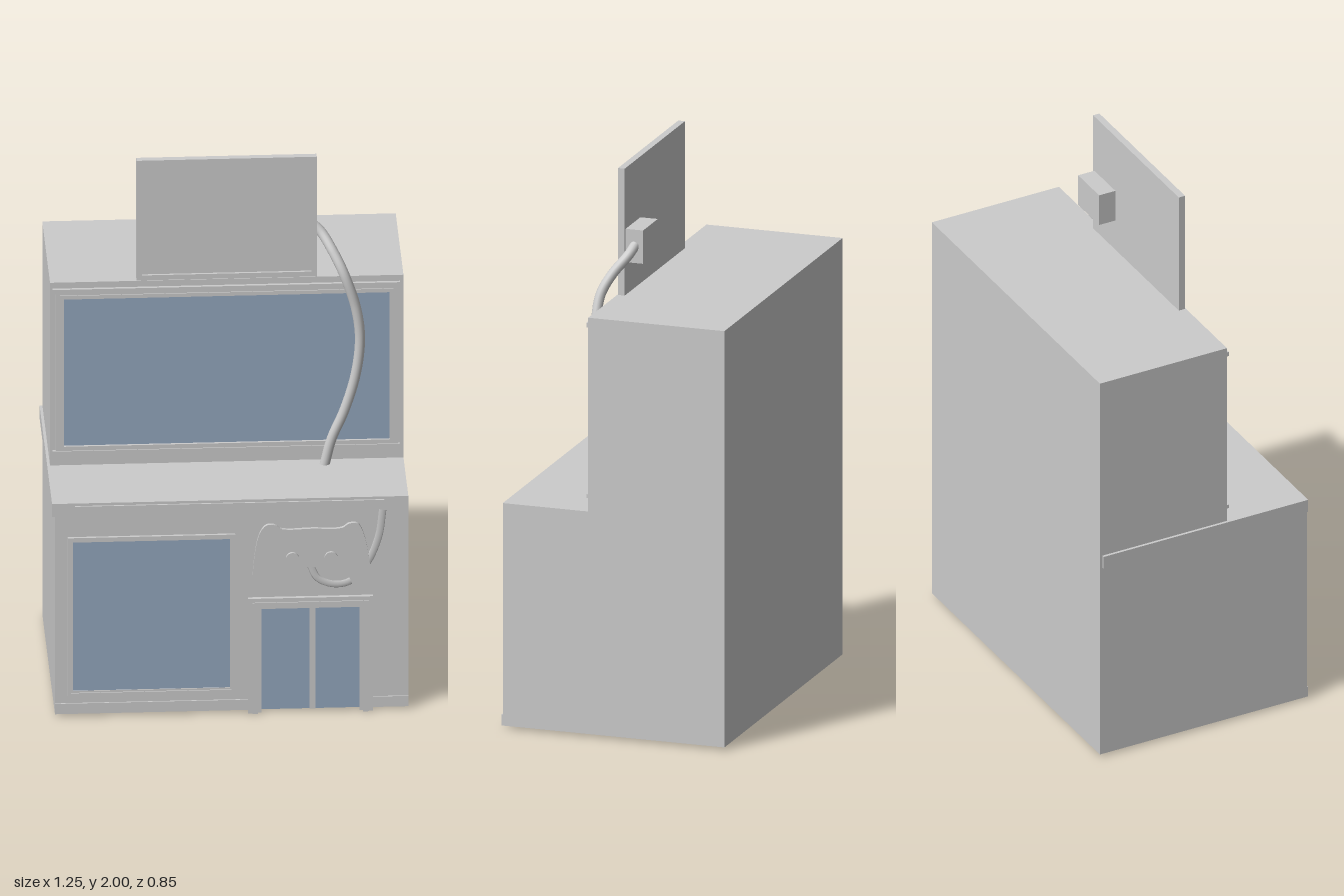
import * as THREE from 'three';

const grey = new THREE.MeshStandardMaterial({ color: 0xcccccc });
const glass = new THREE.MeshStandardMaterial({ color: 0x93a7be });

export function createModel() {
  const root = new THREE.Group();

  const add = (name, geometry, material = grey) => {
    const mesh = new THREE.Mesh(geometry, material);
    mesh.name = name;
    root.add(mesh);
    return mesh;
  };

  // Box given by its lower and upper corner
  const box = (name, [x0, y0, z0], [x1, y1, z1], material) => {
    const mesh = add(name, new THREE.BoxGeometry(x1 - x0, y1 - y0, z1 - z0), material);
    mesh.position.set((x0 + x1) / 2, (y0 + y1) / 2, (z0 + z1) / 2);
    return mesh;
  };

  const rectPoints = (x0, y0, x1, y1) => [[x0, y0], [x1, y0], [x1, y1], [x0, y1]].map(p => new THREE.Vector2(...p));

  // Rectangular moulding of width w between depths z0 and z1
  const frame = (name, [x0, y0, x1, y1], w, z0, z1) => {
    const shape = new THREE.Shape(rectPoints(x0, y0, x1, y1));
    shape.holes.push(new THREE.Path(rectPoints(x0 + w, y0 + w, x1 - w, y1 - w)));
    add(name, new THREE.ExtrudeGeometry(shape, { depth: z1 - z0, bevelEnabled: false })).position.z = z0;
  };

  // Door moulding, open at the bottom
  const portal = (name, [x0, x1, top], w, z0, z1) => {
    const pts = [[x0, 0], [x0 + w, 0], [x0 + w, top - w], [x1 - w, top - w], [x1 - w, 0], [x1, 0], [x1, top], [x0, top]];
    const shape = new THREE.Shape(pts.map(p => new THREE.Vector2(...p)));
    add(name, new THREE.ExtrudeGeometry(shape, { depth: z1 - z0, bevelEnabled: false })).position.z = z0;
  };

  // Stepped building
  const front = 0.402, upperFront = 0.083;
  const outline = [[-0.425, 0.01], [front, 0.01], [front, 0.825], [upperFront, 0.825], [upperFront, 1.535], [-0.425, 1.535]];
  const profile = new THREE.Shape(outline.map(([z, y]) => new THREE.Vector2(-z, y)));
  const body = add('building', new THREE.ExtrudeGeometry(profile, { depth: 1.245, bevelEnabled: false }));
  body.rotation.y = Math.PI / 2;
  body.position.x = -0.62;

  // Trim along the walls
  box('sideLedge', [-0.63, 0.775, -0.415], [-0.62, 0.825, front], grey);
  box('frontLedge', [-0.55, 0.785, front], [0.54, 0.815, 0.408], grey);
  box('baseTrimLeft', [-0.62, 0.01, front], [0.06, 0.05, 0.407], grey);
  box('baseTrimRight', [0.5, 0.01, front], [0.625, 0.05, 0.407], grey);

  // Upper window
  box('upperGlass', [-0.575, 0.89, upperFront], [0.58, 1.485, 0.086], glass);
  frame('upperFrameOuter', [-0.6, 0.878, 0.605, 1.498], 0.018, upperFront, 0.091);
  frame('upperFrameInner', [-0.585, 0.888, 0.59, 1.488], 0.014, upperFront, 0.095);
  box('upperFrameCap', [-0.612, 1.495, upperFront], [0.612, 1.512, 0.095], grey);
  box('upperFrameSill', [-0.612, 0.87, upperFront], [0.612, 0.884, 0.095], grey);

  // Lower window
  box('lowerGlass', [-0.565, 0.09, front], [0.005, 0.685, 0.405], glass);
  frame('lowerFrameOuter', [-0.575, 0.08, 0.015, 0.695], 0.012, front, 0.412);
  frame('lowerFrameInner', [-0.564, 0.091, 0.004, 0.684], 0.008, front, 0.408);

  // Double door
  box('doorGlass', [0.1, 0.01, front], [0.46, 0.41, 0.404], glass);
  portal('doorFrameOuter', [0.06, 0.5, 0.445], 0.02, 0.395, 0.416);
  portal('doorFrameMiddle', [0.075, 0.485, 0.43], 0.02, 0.395, 0.42);
  portal('doorFrameInner', [0.094, 0.466, 0.415], 0.013, 0.395, 0.41);
  box('doorMullion', [0.277, 0.01, front], [0.297, 0.405, 0.408], grey);

  // Game controller sign on the wall
  const c = [
    [0.11, 0.47], [0.08, 0.495], [0.078, 0.56], [0.1, 0.695], [0.125, 0.728], [0.155, 0.728], [0.18, 0.712],
    [0.285, 0.712], [0.39, 0.712], [0.415, 0.728], [0.445, 0.728], [0.465, 0.695], [0.49, 0.56], [0.488, 0.495],
    [0.458, 0.47], [0.43, 0.49], [0.408, 0.54], [0.38, 0.562], [0.285, 0.562], [0.19, 0.562], [0.162, 0.54], [0.14, 0.49],
  ].map(p => new THREE.Vector3(...p, 0));
  const padShape = new THREE.Shape(new THREE.CatmullRomCurve3(c, true).getPoints(88).map(p => new THREE.Vector2(p.x, p.y)));
  add('controllerPad', new THREE.ExtrudeGeometry(padShape, { depth: 0.012, bevelEnabled: false })).position.z = front;
  for (const x of [0.216, 0.352]) {
    const stick = add('controllerStick', new THREE.CylinderGeometry(0.023, 0.023, 0.02, 24));
    stick.rotation.x = Math.PI / 2;
    stick.position.set(x, 0.6, 0.413);
  }

  // Shallow cord looping from the controller up the wall
  const cord = new THREE.CatmullRomCurve3([
    [0.28, 0.565], [0.305, 0.515], [0.36, 0.49], [0.42, 0.5], [0.48, 0.57], [0.52, 0.67], [0.535, 0.775],
  ].map(p => new THREE.Vector3(...p, 0)));
  const cordMesh = add('controllerCord', new THREE.TubeGeometry(cord, 40, 0.013, 8));
  cordMesh.position.z = front;
  cordMesh.scale.z = 0.3;

  // Screen standing on the roof edge
  box('screenPanel', [-0.31, 1.537, 0.055], [0.315, 1.995, 0.071], grey);
  frame('screenFrame', [-0.315, 1.535, 0.32, 2.0], 0.019, 0.055, 0.08);
  box('screenBackBox', [0.155, 1.655, -0.01], [0.31, 1.777, 0.056], grey);

  // Cable hanging from the screen box to the lower roof
  const cable = new THREE.CatmullRomCurve3([
    [0.3, 1.72, 0.022], [0.335, 1.69, 0.035], [0.38, 1.625, 0.082], [0.415, 1.555, 0.113], [0.455, 1.43, 0.117],
    [0.47, 1.31, 0.117], [0.455, 1.17, 0.117], [0.415, 1.03, 0.117], [0.37, 0.92, 0.117], [0.345, 0.82, 0.117],
  ].map(p => new THREE.Vector3(...p)));
  add('cable', new THREE.TubeGeometry(cable, 64, 0.018, 14));

  return root;
}
